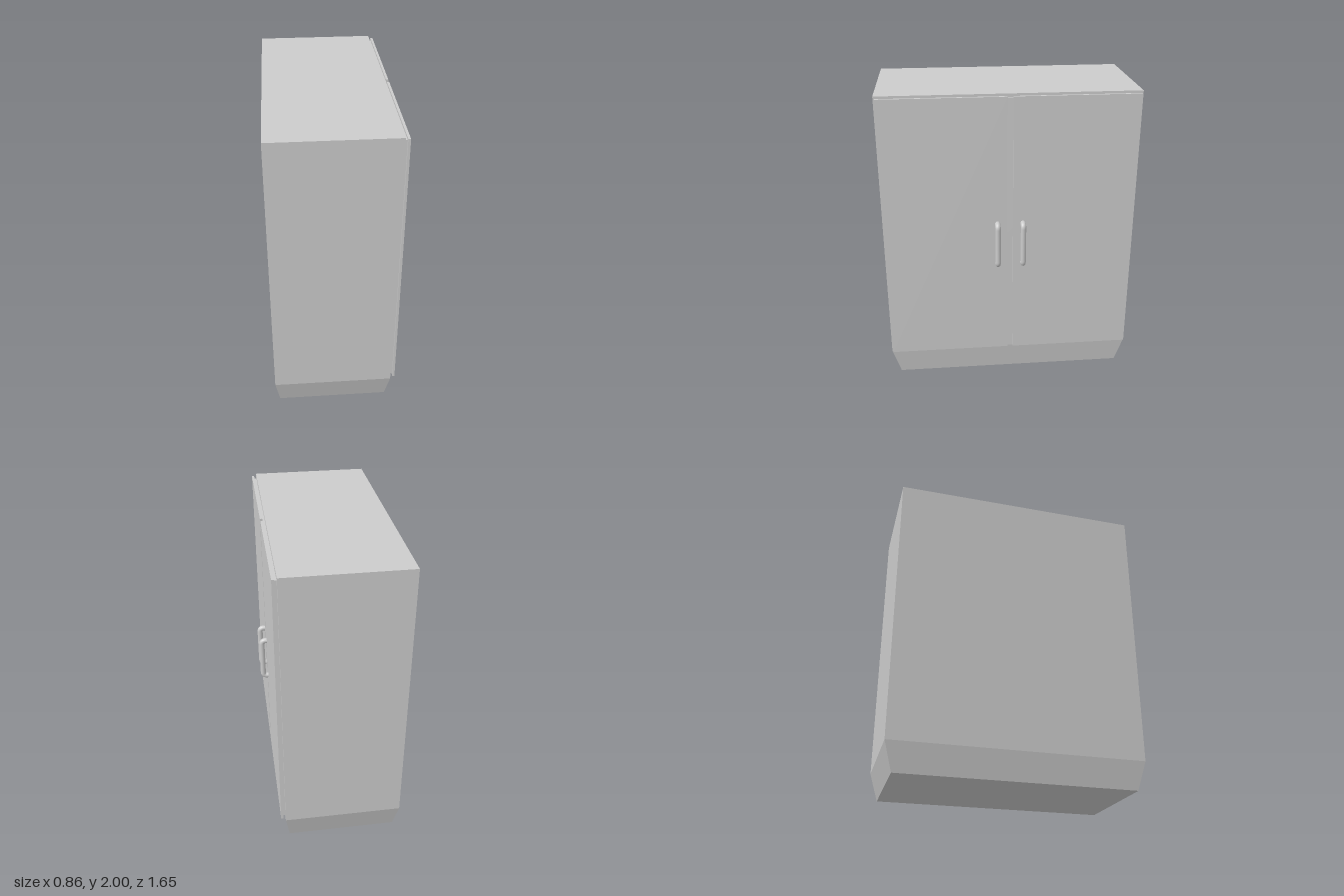
import * as THREE from 'three';

const material = new THREE.MeshStandardMaterial({ color: 0xcccccc });

// Box given by its lower and upper corners
function box(name, [x0, y0, z0], [x1, y1, z1]) {
  const geometry = new THREE.BoxGeometry(x1 - x0, y1 - y0, z1 - z0);
  geometry.translate((x0 + x1) / 2, (y0 + y1) / 2, (z0 + z1) / 2);
  const mesh = new THREE.Mesh(geometry, material);
  mesh.name = name;
  return mesh;
}

// Plinth: a box whose bottom edge is drawn inwards
function createPlinth() {
  const mesh = box('plinth', [-0.43, 0, -0.825], [0.345, 0.187, 0.825]);
  const p = mesh.geometry.attributes.position;
  for (let i = 0; i < p.count; i++) {
    if (p.getY(i) > 0.1) continue;
    p.setX(i, p.getX(i) > 0 ? 0.318 : -0.403);
    p.setZ(i, Math.sign(p.getZ(i)) * 0.772);
  }
  mesh.geometry = mesh.geometry.toNonIndexed();
  mesh.geometry.computeVertexNormals();
  return mesh;
}

// Bent bar handle, standing off the door
function createHandle(z) {
  const v = (x, y) => new THREE.Vector3(x, y, z);
  const low = 0.862, high = 1.148, out = 0.409, bend = 0.026;
  const path = new THREE.CurvePath();
  path.add(new THREE.LineCurve3(v(0.37, low), v(out - bend, low)));
  path.add(new THREE.QuadraticBezierCurve3(v(out - bend, low), v(out, low), v(out, low + bend)));
  path.add(new THREE.LineCurve3(v(out, low + bend), v(out, high - bend)));
  path.add(new THREE.QuadraticBezierCurve3(v(out, high - bend), v(out, high), v(out - bend, high)));
  path.add(new THREE.LineCurve3(v(out - bend, high), v(0.37, high)));
  const mesh = new THREE.Mesh(new THREE.TubeGeometry(path, 80, 0.018, 16), material);
  mesh.name = 'handle';
  return mesh;
}

export function createModel() {
  const group = new THREE.Group();
  group.name = 'cabinet';
  group.add(createPlinth());
  group.add(box('body', [-0.43, 0.187, -0.825], [0.345, 2, 0.825]));
  // Recessed panel that leaves a shadow gap behind the doors
  group.add(box('doorFrame', [0.34, 0.212, -0.8], [0.36, 1.975, 0.8]));

  // Pair of doors, each with its handle near the middle
  for (const side of [-1, 1]) {
    const door = new THREE.Group();
    door.name = side > 0 ? 'leftDoor' : 'rightDoor';
    const z = [0.018 * side, 0.815 * side].sort((a, b) => a - b);
    door.add(box('doorPanel', [0.36, 0.197, z[0]], [0.375, 1.988, z[1]]));
    door.add(createHandle(0.083 * side));
    group.add(door);
  }
  return group;
}
